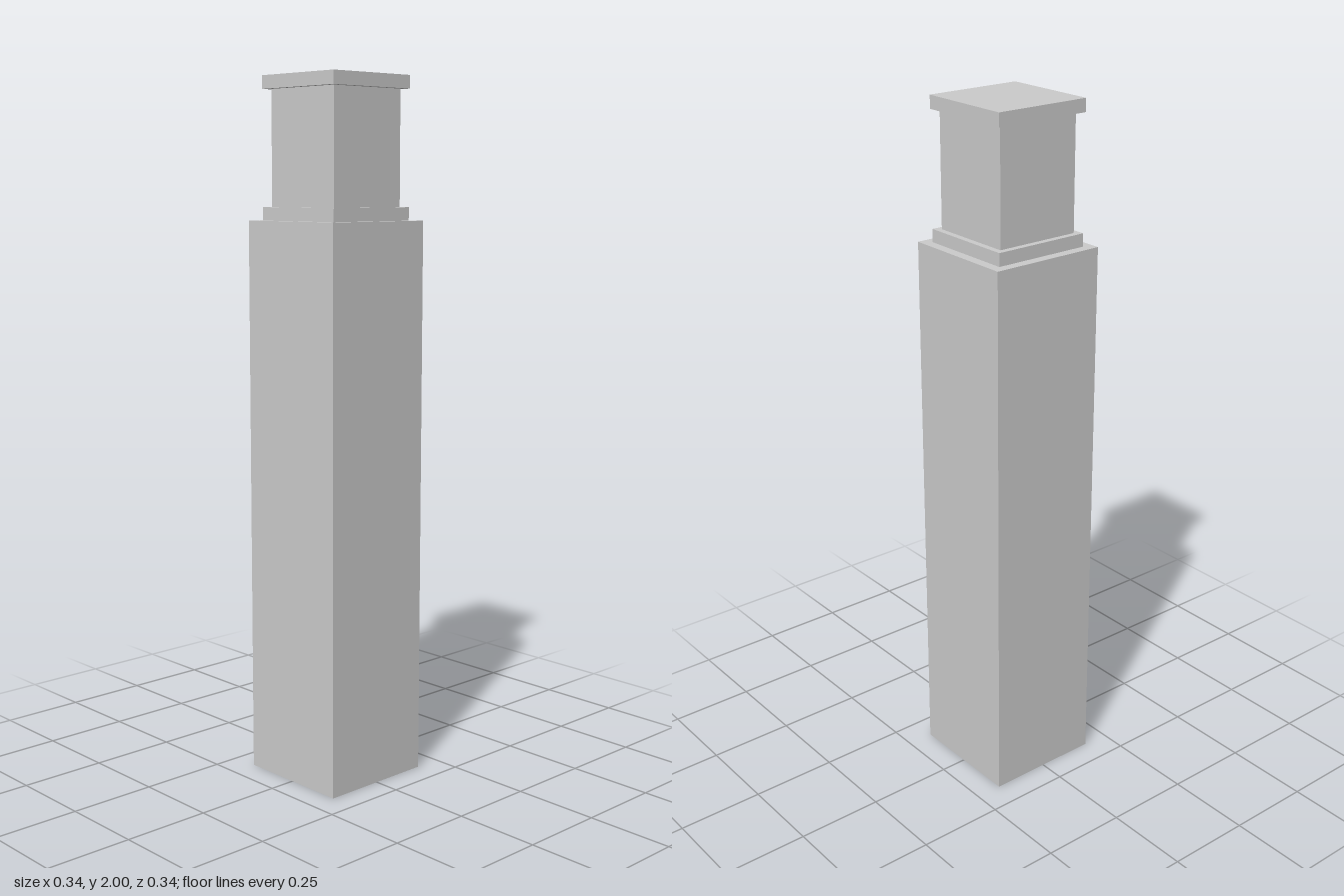
import * as THREE from 'three';

export function createModel() {
  const group = new THREE.Group();
  const material = new THREE.MeshStandardMaterial({ color: 0xcccccc, flatShading: true });

  // Square block of the given width between two heights
  function addBlock(name, width, bottom, top) {
    const mesh = new THREE.Mesh(new THREE.BoxGeometry(width, top - bottom, width), material);
    mesh.name = name;
    mesh.position.y = (bottom + top) / 2;
    group.add(mesh);
  }

  // Tall post with a narrower, capped neck on top
  addBlock('shaft', 0.345, 0, 1.603);
  addBlock('neckBase', 0.288, 1.603, 1.64);
  addBlock('neck', 0.252, 1.64, 1.963);
  addBlock('cap', 0.288, 1.963, 2);

  return group;
}
